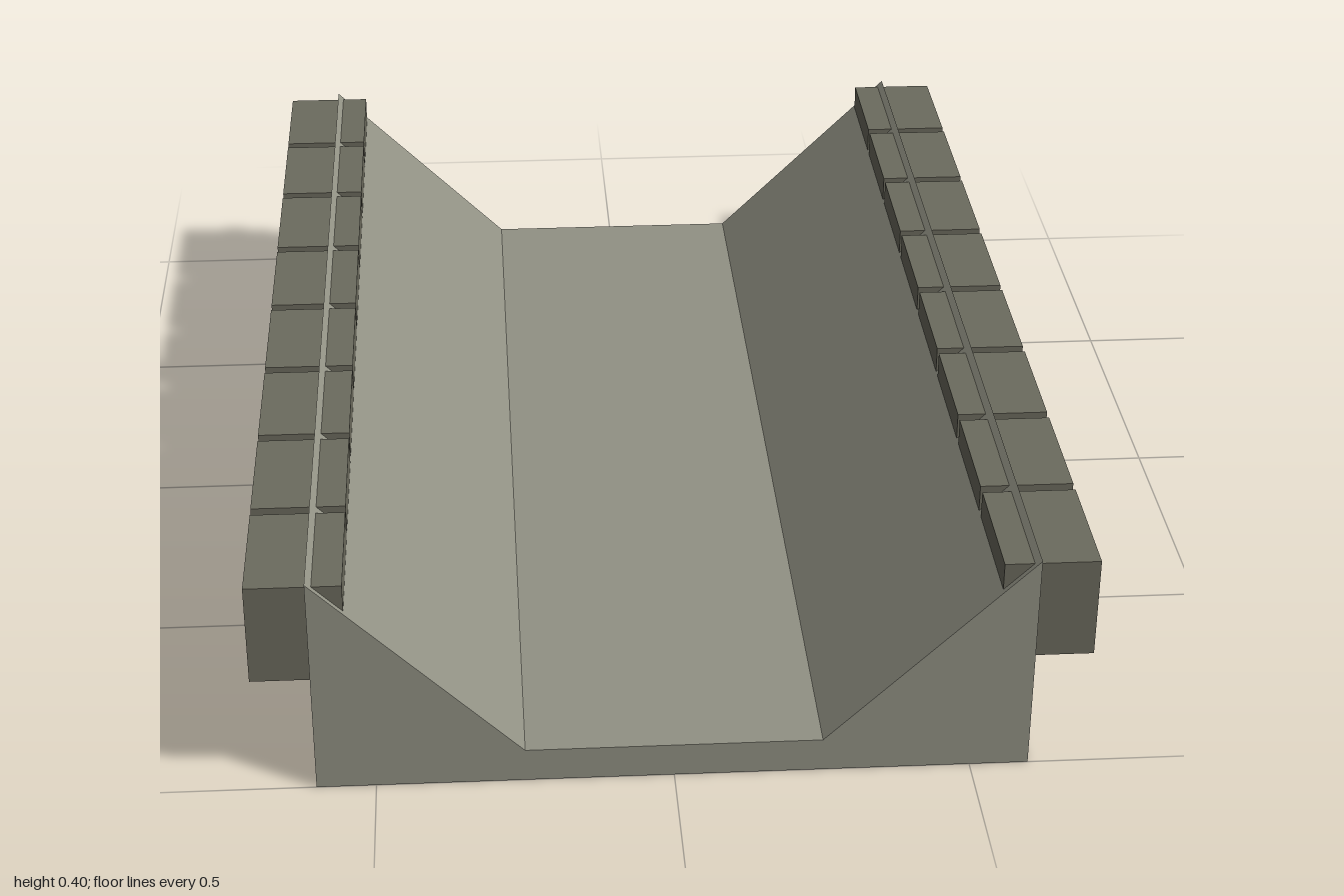
import * as THREE from 'three';

export function createModel() {
  const model = new THREE.Group();
  model.name = 'trenchSection';

  const stone = new THREE.MeshStandardMaterial({ color: 0x929285 });
  stone.name = 'pale stone';
  const darkStone = new THREE.MeshStandardMaterial({ color: 0x6c6b5e });
  darkStone.name = 'dark stone';

  // Channel: flat floor between two sloping banks, extruded along z
  const profile = new THREE.Shape([
    [-0.6, 0], [0.6, 0], [0.6, 0.4], [0.25, 0.06], [-0.25, 0.06], [-0.6, 0.4],
  ].map(([x, y]) => new THREE.Vector2(x, y)));
  const channelGeometry = new THREE.ExtrudeGeometry(profile, { depth: 2, bevelEnabled: false });
  channelGeometry.translate(0, 0, -1);
  const channel = new THREE.Mesh(channelGeometry, stone);
  channel.name = 'channel';
  model.add(channel);

  // Rows of blocks straddling the crest of each bank
  const blockGeometry = new THREE.BoxGeometry(0.16, 0.18, 0.23);
  for (const side of [1, -1]) {
    const row = new THREE.Group();
    row.name = side > 0 ? 'leftBlockRow' : 'rightBlockRow';
    for (let i = 0; i < 8; i++) {
      const block = new THREE.Mesh(blockGeometry, darkStone);
      block.name = `edgeBlock${i + 1}`;
      block.position.set(side * 0.62, 0.3, -0.875 + i * 0.25);
      row.add(block);
    }
    model.add(row);
  }

  return model;
}
